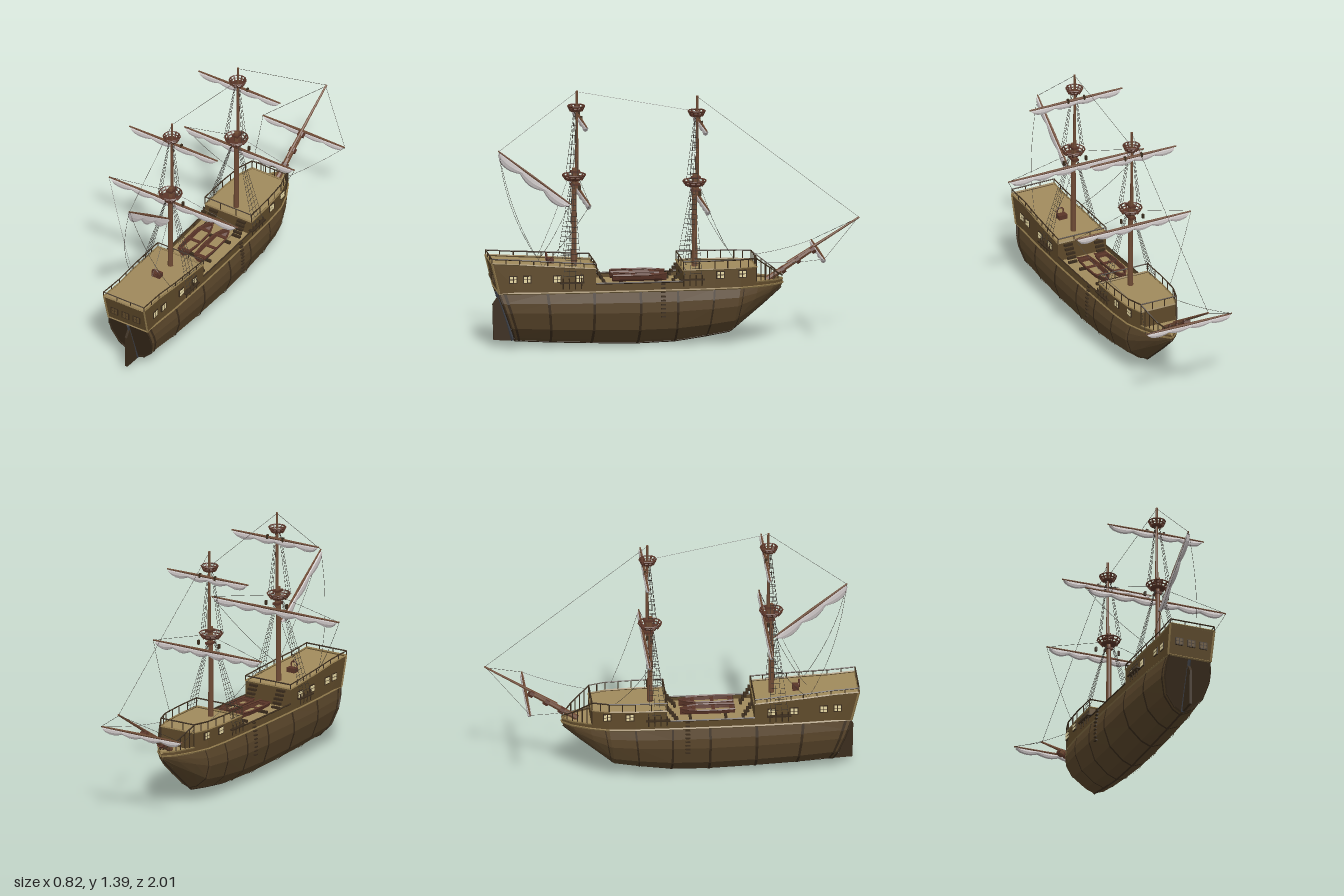
import * as THREE from 'three';

const mat = (color) => new THREE.MeshStandardMaterial({ color, flatShading: true, side: THREE.DoubleSide });
const M = {
  hull: mat(0x59452a), wall: mat(0x5f4a2a), dark: mat(0x3a2c1c), deck: mat(0xa08a5c), trim: mat(0x8a7448),
  mast: mat(0x6e4a34), red: mat(0x5a3528), sail: mat(0xc4bebe), rope: mat(0x38332e), pane: mat(0xe6d8a4), iron: mat(0x3c3f46),
};
const V = (x, y, z) => new THREE.Vector3(x, y, z);
const lerp = THREE.MathUtils.lerp;

function add(parent, name, geo, m) {
  const mesh = new THREE.Mesh(geo, m);
  mesh.name = name;
  parent.add(mesh);
  return mesh;
}
// skin over rows of points
function loft(parent, name, rows, m) {
  const n = rows[0].length, idx = [];
  for (let i = 0; i < rows.length - 1; i++) for (let j = 0; j < n - 1; j++) {
    const a = i * n + j, b = a + n;
    idx.push(a, b, a + 1, b, b + 1, a + 1);
  }
  const g = new THREE.BufferGeometry().setFromPoints(rows.flat());
  g.setIndex(idx);
  g.computeVertexNormals();
  return add(parent, name, g, m);
}
function bar(parent, name, a, b, r0, r1, m, sides = 6) {
  const d = b.clone().sub(a);
  const mesh = add(parent, name, new THREE.CylinderGeometry(r1, r0, d.length(), sides), m);
  mesh.position.copy(a).addScaledVector(d, 0.5);
  mesh.quaternion.setFromUnitVectors(V(0, 1, 0), d.normalize());
  return mesh;
}
function box(parent, name, x, y, z, w, h, d, m) {
  const mesh = add(parent, name, new THREE.BoxGeometry(w, h, d), m);
  mesh.position.set(x, y, z);
  return mesh;
}
const rope = (p, a, b) => bar(p, 'rope', a, b, 0.0011, 0.0011, M.rope, 3);
function slackRope(p, a, b, sag) {
  const mid = a.clone().lerp(b, 0.5).add(sag);
  add(p, 'slackRope', new THREE.TubeGeometry(new THREE.QuadraticBezierCurve3(a, mid, b), 12, 0.0011, 3), M.rope);
}
const chain = (p, name, pts, r, m) => pts.slice(1).forEach((q, i) => bar(p, name, pts[i], q, r, r, m, 4));

// hull stations: z at sheer, z at keel, half width, keel height
const ST = [[0.96, 0.86, 0.128, 0.03], [0.7, 0.67, 0.148, 0.018], [0.45, 0.45, 0.157, 0.008], [0.2, 0.2, 0.16, 0],
  [0, 0, 0.16, 0.005], [-0.2, -0.17, 0.158, 0.028], [-0.34, -0.3, 0.147, 0.05], [-0.44, -0.39, 0.112, 0.125],
  [-0.53, -0.48, 0.062, 0.2], [-0.585, -0.575, 0.004, 0.285]];
const SHAPE = [[0.92, 1], [1, 0.8], [1, 0.62], [0.8, 0.3], [0.36, 0.08], [0, 0]];
const SHEER = 0.31;
function section(s, side, grow = 1) {
  const i = Math.min(Math.floor(s), ST.length - 2), f = s - i;
  const [zt, zk, w, ky] = ST[i].map((v, k) => lerp(v, ST[i + 1][k], f));
  return SHAPE.map(([u, t]) => V(side * u * w * grow, lerp(ky, SHEER, t) - (grow - 1) * 0.15, lerp(zk, zt, t)));
}
function half(z) {
  for (let i = 0; i < ST.length - 1; i++) if (z >= ST[i + 1][0]) {
    const f = Math.min(1, (ST[i][0] - z) / (ST[i][0] - ST[i + 1][0]));
    return 0.92 * lerp(ST[i][2], ST[i + 1][2], Math.max(0, f)) + (z > 0.9 ? 0.1 * (z - 0.9) : 0);
  }
  return 0.002;
}

function buildHull(ship) {
  const g = new THREE.Group(); g.name = 'hull'; ship.add(g);
  const all = ST.map((_, i) => i);
  for (const s of [1, -1]) {
    loft(g, 'planking', all.map((i) => section(i, s)), M.hull);
    for (const k of [0.12, 1, 2, 3, 4, 5, 6.2]) loft(g, 'hullFrame', [section(k - 0.03, s, 1.025), section(k + 0.03, s, 1.025)], M.dark);
    chain(g, 'wale', all.map((i) => section(i, s, 1.01)[0]), 0.006, M.trim);
    chain(g, 'sternFrame', section(0, s), 0.006, M.dark);
  }
  loft(g, 'transom', [section(0, 1), section(0, -1)], M.dark);
  chain(g, 'keel', all.map((i) => section(i, 1)[5]), 0.006, M.dark);
  // rudder and stern post
  const rud = new THREE.Shape([[0.88, 0.03], [0.975, 0.035], [0.98, 0.23], [0.945, 0.28]].map((p) => new THREE.Vector2(...p)));
  const r = add(g, 'rudder', new THREE.ExtrudeGeometry(rud, { depth: 0.014, bevelEnabled: false }), M.dark);
  r.rotation.y = -Math.PI / 2; r.position.x = 0.007;
  bar(g, 'sternPost', V(0, 0.03, 0.87), V(0, 0.3, 0.96), 0.011, 0.009, M.iron, 4);
}

// upper works: z range, wall top, rail top, deck height (each pair aft to fore)
const WORKS = [
  { name: 'poop', zs: [1, 0.85, 0.7, 0.57, 0.44], top: [0.475, 0.435], rail: [0.5, 0.462], deck: [0.468, 0.428] },
  { name: 'waist', zs: [0.44, 0.2, 0, -0.03], top: [0.355, 0.355], deck: [0.33, 0.33] },
  { name: 'forecastle', zs: [-0.03, -0.2, -0.34, -0.43], top: [0.415, 0.415], rail: [0.462, 0.462], deck: [0.408, 0.408] },
  { name: 'beakhead', zs: [-0.43, -0.48, -0.53, -0.583], top: [0.335, 0.33], rail: [0.46, 0.345], deck: [0.32, 0.32] },
];
function buildWorks(ship) {
  for (const w of WORKS) {
    const g = new THREE.Group(); g.name = w.name; ship.add(g);
    const n = w.zs.length, z0 = w.zs[0], z1 = w.zs[n - 1];
    const row = (pair, s) => w.zs.map((z) => V(s * half(z), lerp(pair[0], pair[1], (z0 - z) / (z0 - z1)), z));
    const base = (s) => w.zs.map((z) => V(s * half(Math.min(z, 0.96)), SHEER, Math.min(z, 0.96)));
    for (const s of [1, -1]) {
      loft(g, 'sideWall', [base(s), row(w.top, s)], M.wall);
      chain(g, 'sideTrim', row(w.top, s), 0.005, w.name === 'waist' ? M.dark : M.trim);
      if (!w.rail) continue;
      const hi = row(w.rail, s), lo = row(w.top, s);
      chain(g, 'handrail', hi, 0.004, M.dark);
      for (let i = 0; i < n - 1; i++) for (const f of [0, 0.5]) bar(g, 'railPost', lo[i].clone().lerp(lo[i + 1], f), hi[i].clone().lerp(hi[i + 1], f), 0.003, 0.003, M.dark, 4);
    }
    loft(g, 'deck', [row(w.deck, 1), row(w.deck, -1)], M.deck);
    // bulkheads, end trim and end rails
    if (w.name === 'poop' || w.name === 'forecastle') for (const k of [0, n - 1]) {
      const [a, b, c, d] = [base(1)[k], base(-1)[k], row(w.top, 1)[k], row(w.top, -1)[k]];
      loft(g, 'bulkhead', [[a, b], [c, d]], M.wall);
      bar(g, 'endTrim', c, d, 0.006, 0.006, M.trim, 4);
      bar(g, 'endRail', row(w.rail, 1)[k], row(w.rail, -1)[k], 0.004, 0.004, M.dark, 4);
      for (const f of [0, 0.33, 0.67, 1]) bar(g, 'railPost', c.clone().lerp(d, f), row(w.rail, 1)[k].lerp(row(w.rail, -1)[k], f), 0.003, 0.003, M.dark, 4);
      if (k === 0 && w.name === 'poop') {
        bar(g, 'sternSill', a, b, 0.006, 0.006, M.trim, 4);
        for (const [p, q] of [[a, c], [b, d]]) bar(g, 'sternCorner', p, q, 0.006, 0.006, M.trim, 4);
      }
    }
  }
  // paned windows on both sides and at the stern
  const win = new THREE.Group(); win.name = 'windows'; ship.add(win);
  const window4 = (x, y, z, turn, m) => {
    const g = new THREE.Group(); g.position.set(x, y, z); g.rotation.y = turn; win.add(g);
    box(g, 'windowFrame', 0, 0, 0, 0.046, 0.042, 0.008, M.dark);
    for (const i of [-1, 1]) for (const j of [-1, 1]) box(g, 'pane', i * 0.01, j * 0.009, 0.002, 0.015, 0.014, 0.008, m);
  };
  for (const s of [1, -1]) for (const z of [0.885, 0.81, 0.65, 0.53, -0.23, -0.35]) window4(s * (half(z) + 0.001), 0.385, z, s * Math.PI / 2, M.pane);
  for (const x of [-0.07, 0, 0.07]) window4(x, 0.385, 0.982, 0, M.wall);
}

// round fighting top with flared posts
function buildTop(parent, y, z, r) {
  const g = new THREE.Group(); g.name = 'mastTop'; g.position.set(0, y, z); parent.add(g);
  add(g, 'platform', new THREE.CylinderGeometry(r * 0.72, r * 0.6, 0.008, 12), M.red).position.y = -0.012;
  for (const [k, h] of [[1, 0.014], [0.86, 0]]) {
    const t = add(g, 'hoop', new THREE.TorusGeometry(r * k, 0.004, 4, 12), M.red);
    t.rotation.x = Math.PI / 2; t.position.y = h;
  }
  for (let i = 0; i < 12; i++) {
    const c = Math.cos(i * Math.PI / 6) * r, s = Math.sin(i * Math.PI / 6) * r;
    bar(g, 'topPost', V(c * 0.68, -0.014, s * 0.68), V(c, 0.014, s), 0.005, 0.005, M.red, 4);
  }
  for (const s of [1, -1]) box(g, 'block', s * (r + 0.004), -0.045, -0.02, 0.01, 0.024, 0.014, M.dark);
}

// spar along x with a scalloped furled sail below
function buildYard(parent, name, L, bundle, waves = 4) {
  const g = new THREE.Group(); g.name = name; parent.add(g);
  for (const s of [1, -1]) bar(g, 'spar', V(0, 0, 0), V(s * L, 0, 0), 0.0075, 0.004, M.mast);
  const rows = [], N = waves * 6;
  for (let i = 0; i <= N; i++) {
    const u = i / N, x = lerp(-0.95, 0.95, u) * L;
    const h = bundle * (0.55 + 0.45 * Math.abs(Math.sin(u * Math.PI * waves))) * (i % N ? 1 : 0.5);
    rows.push(Array.from({ length: 9 }, (_, k) => V(x, -0.004 - h + h * Math.cos(k * Math.PI / 4), 0.011 * Math.sin(k * Math.PI / 4))));
  }
  loft(g, 'furledSail', rows, M.sail);
  return g;
}

// fan of shrouds with ratlines
function buildShrouds(parent, s, x0, y0, zs, x1, y1, z1, rungs) {
  const g = new THREE.Group(); g.name = 'shrouds'; parent.add(g);
  const at = (i, f) => V(s * lerp(x0, x1, f), lerp(y0, y1, f), lerp(zs[i], z1 + 0.006 * i, f));
  zs.forEach((_, i) => rope(g, at(i, 0), at(i, 1)));
  for (let k = 1; k < rungs; k++) rope(g, at(0, k / rungs), at(zs.length - 1, k / rungs));
}

function buildMast(ship, name, z, o) {
  const g = new THREE.Group(); g.name = name; ship.add(g);
  bar(g, 'lowerMast', V(0, 0.32, z), V(0, o.low + 0.05, z), 0.016, 0.012, M.mast, 10);
  bar(g, 'topmast', V(0, o.low - 0.06, z - 0.015), V(0, o.top, z - 0.015), 0.01, 0.006, M.mast, 8);
  for (const y of [-0.04, 0.03]) box(g, 'mastCap', 0, o.low + y, z - 0.007, 0.034, 0.012, 0.05, M.red);
  buildTop(g, o.low, z, 0.062);
  buildTop(g, o.high, z - 0.012, 0.045);
  buildYard(g, 'lowerYard', o.lowerL, 0.019, 6).position.set(0, o.lowerY, z - 0.03);
  buildYard(g, 'upperYard', o.upperL, 0.018).position.set(0, o.upperY, z - 0.03);
  for (const s of [1, -1]) {
    const zs = [0, 1, 2, 3].map((i) => z - 0.02 + i * 0.033);
    box(g, 'channel', s * 0.152, 0.365, z + 0.03, 0.026, 0.007, 0.13, M.dark);
    zs.forEach((q) => bar(g, 'deadeye', V(s * 0.153, 0.33, q), V(s * 0.157, 0.39, q), 0.003, 0.004, M.dark, 4));
    buildShrouds(g, s, 0.157, 0.37, zs, 0.02, o.low - 0.03, z, 18);
    buildShrouds(g, s, 0.058, o.low + 0.01, [z - 0.01, z + 0.015, z + 0.035], 0.012, o.high - 0.02, z - 0.012, 13);
    slackRope(g, V(s * o.lowerL, o.lowerY, z - 0.03), V(s * 0.13, 0.46, z + o.brace), V(0, -0.04, 0));
    rope(g, V(s * o.lowerL, o.lowerY, z - 0.03), V(0, o.low + 0.01, z - 0.02));
  }
}

function buildBoat(parent, x) {
  const g = new THREE.Group(); g.name = 'rowingBoat'; g.position.set(x, 0.345, 0.195); parent.add(g);
  const rows = [[0.145, 0.03], [0.05, 0.04], [-0.06, 0.038], [-0.11, 0.024], [-0.148, 0.001]].map(([z, w]) =>
    [[-1, 0.038], [-0.85, 0.015], [0, 0], [0.85, 0.015], [1, 0.038]].map(([u, y]) => V(u * w, y, z)));
  loft(g, 'boatHull', rows, M.red);
  loft(g, 'boatStern', [rows[0], rows[0].map((p) => V(p.x, 0.038, p.z))], M.red);
  for (const k of [0, 4]) chain(g, 'gunwale', rows.map((r) => r[k]), 0.005, M.red);
  box(g, 'boatFloor', 0, 0.016, 0.02, 0.055, 0.004, 0.2, M.deck);
  for (const z of [-0.075, 0.03, 0.125]) box(g, 'thwart', 0, 0.032, z, 0.066, 0.005, 0.018, M.red);
}

export function createModel() {
  const ship = new THREE.Group(); ship.name = 'sailingShip';
  buildHull(ship);
  buildWorks(ship);
  buildMast(ship, 'mainMast', 0.54, { low: 0.91, high: 1.285, top: 1.38, lowerY: 0.84, lowerL: 0.41, upperY: 1.238, upperL: 0.28, brace: 0.18 });
  buildMast(ship, 'foreMast', -0.11, { low: 0.86, high: 1.24, top: 1.335, lowerY: 0.78, lowerL: 0.35, upperY: 1.195, upperL: 0.26, brace: -0.2 });

  // bowsprit with its yard
  const bow = new THREE.Group(); bow.name = 'bowsprit'; ship.add(bow);
  bar(bow, 'lowerBowsprit', V(0, 0.325, -0.5), V(0, 0.485, -0.75), 0.017, 0.013, M.mast, 8);
  bar(bow, 'jibBoom', V(0, 0.41, -0.61), V(0, 0.65, -0.998), 0.01, 0.005, M.mast, 8);
  for (const f of [0.3, 0.62, 0.95]) bar(bow, 'lashing', V(0, lerp(0.325, 0.485, f) - 0.005, lerp(-0.5, -0.75, f)), V(0, lerp(0.325, 0.485, f) + 0.008, lerp(-0.5, -0.75, f) - 0.02), 0.021, 0.021, M.red, 8);
  buildYard(bow, 'bowspritYard', 0.26, 0.016).position.set(0, 0.48, -0.775);

  // gaff with furled sail
  const gaff = buildYard(ship, 'gaff', 0.25, 0.024, 3);
  const d = V(0, 0.3, 0.39).normalize();
  gaff.quaternion.setFromRotationMatrix(new THREE.Matrix4().makeBasis(d, V(0, d.z, -d.y), V(-1, 0, 0)));
  gaff.position.set(0, 0.91, 0.75);

  // stays and running lines
  const rig = new THREE.Group(); rig.name = 'rigging'; ship.add(rig);
  rope(rig, V(0, 1.06, 0.945), V(0, 1.375, 0.525));
  rope(rig, V(0, 1.375, 0.525), V(0, 1.25, -0.12));
  rope(rig, V(0, 1.33, -0.125), V(0, 0.65, -0.995));
  for (const s of [1, -1]) {
    slackRope(rig, V(0, 1.06, 0.945), V(s * 0.13, 0.46, 0.73), V(s * 0.03, -0.04, 0.06));
    rope(rig, V(s * 0.26, 0.48, -0.775), V(0, 0.645, -0.99));
    slackRope(rig, V(s * 0.26, 0.48, -0.775), V(s * 0.11, 0.44, -0.44), V(0, -0.02, 0));
  }
  slackRope(rig, V(0, 0.77, 0.56), V(0, 0.47, 0.73), V(0, -0.08, 0.02));

  // deck fittings
  const fit = new THREE.Group(); fit.name = 'deckFittings'; ship.add(fit);
  for (const s of [1, -1]) {
    buildBoat(fit, s * 0.051);
    for (const [z, dir, rise] of [[0.43, -1, 0.1], [-0.02, 1, 0.08]]) for (let i = 0; i < 5; i++)
      box(fit, 'stair', s * 0.088, 0.33 + rise * (1 - i / 5) - 0.01, z + dir * i * 0.012, 0.05, 0.012, 0.014, M.dark);
    for (let i = 0; i < 9; i++) box(fit, 'sideStep', s * (0.15 + 0.011 * Math.min(1, i / 3)), 0.345 - i * 0.022, 0.08, 0.012, 0.007, 0.024, M.dark);
  }
  for (const z of [0.1, 0.29]) box(fit, 'boatCradle', 0, 0.338, z, 0.19, 0.014, 0.014, M.dark);
  box(fit, 'wheelBase', 0, 0.46, 0.67, 0.05, 0.025, 0.035, M.red);
  const wheel = add(fit, 'steeringWheel', new THREE.TorusGeometry(0.02, 0.004, 5, 12), M.red);
  wheel.position.set(0, 0.482, 0.69);
  return ship;
}
